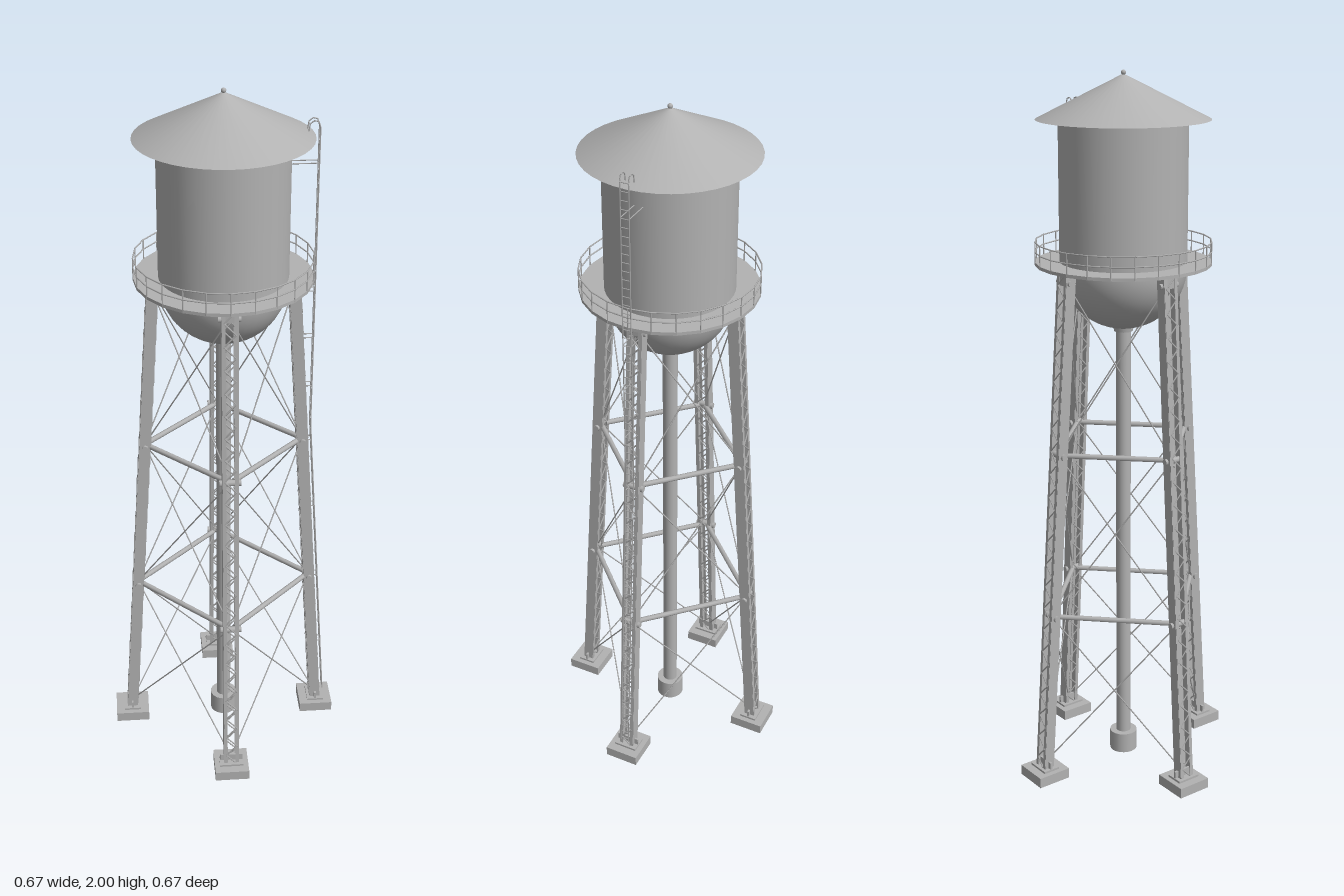
import * as THREE from 'three';
import { mergeGeometries } from 'three/addons/utils/BufferGeometryUtils.js';

const V = (x, y, z) => new THREE.Vector3(x, y, z);
const steel = new THREE.MeshStandardMaterial({ color: 0xb2b2b2, side: THREE.DoubleSide });
steel.name = 'grey steel';

// Round bar between two points
function rod(a, b, r, sides = 6) {
  const d = b.clone().sub(a);
  const g = new THREE.CylinderGeometry(r, r, d.length(), sides);
  g.applyQuaternion(new THREE.Quaternion().setFromUnitVectors(V(0, 1, 0), d.normalize()));
  return g.translate((a.x + b.x) / 2, (a.y + b.y) / 2, (a.z + b.z) / 2);
}
const box = (w, h, d, x, y, z) => new THREE.BoxGeometry(w, h, d).translate(x, y, z);

function add(parent, name, parts) {
  const mesh = new THREE.Mesh(Array.isArray(parts) ? mergeGeometries(parts) : parts, steel);
  mesh.name = name;
  parent.add(mesh);
  return mesh;
}

// Leg centre line
const FOOT = { r: 0.287, y: 0.03 }, HEAD = { r: 0.19, y: 1.48 };
const legRadius = y => FOOT.r + (HEAD.r - FOOT.r) * (y - FOOT.y) / (HEAD.y - FOOT.y);
const onLeg = (i, y) => {
  const a = i * Math.PI / 2, r = legRadius(y);
  return V(r * Math.cos(a), y, r * Math.sin(a));
};

// Two channels joined by zigzag lacing on the inner and outer faces
function legGeometry() {
  const L = Math.hypot(HEAD.r - FOOT.r, HEAD.y - FOOT.y), parts = [];
  for (const s of [-1, 1]) {
    parts.push(box(0.03, L, 0.003, 0, L / 2, s * 0.021));
    for (const f of [-1, 1]) parts.push(box(0.003, L, 0.01, f * 0.0145, L / 2, s * 0.0165));
    const n = 44, step = L / n;
    for (let k = 0; k < n; k++) {
      const z = (k % 2 ? 1 : -1) * s * 0.016;
      parts.push(rod(V(s * 0.0155, k * step, z), V(s * 0.0155, (k + 1) * step, -z), 0.0022, 4));
    }
  }
  const g = mergeGeometries(parts);
  g.rotateZ(Math.atan2(FOOT.r - HEAD.r, HEAD.y - FOOT.y));
  return g.translate(FOOT.r, FOOT.y, 0);
}

export function createModel() {
  const model = new THREE.Group();
  model.name = 'waterTower';

  // Tank wall, bowl and roof
  const tank = new THREE.Group();
  tank.name = 'tank';
  model.add(tank);
  add(tank, 'tankWall', new THREE.CylinderGeometry(0.175, 0.175, 0.39, 40, 1, true).translate(0, 1.675, 0));
  add(tank, 'tankBowl', new THREE.SphereGeometry(0.175, 40, 14, 0, Math.PI * 2, Math.PI / 2, Math.PI / 2).translate(0, 1.48, 0));
  add(tank, 'roof', new THREE.ConeGeometry(0.236, 0.118, 40, 1, true).translate(0, 1.931, 0));
  add(tank, 'eave', new THREE.RingGeometry(0.17, 0.236, 40).rotateX(Math.PI / 2).translate(0, 1.872, 0));
  add(tank, 'finial', new THREE.SphereGeometry(0.007, 10, 8).translate(0, 1.993, 0));

  // Walkway with posts and rails
  const walkway = new THREE.Group();
  walkway.name = 'walkway';
  model.add(walkway);
  const deck = [[0.173, 1.483], [0.242, 1.483], [0.242, 1.492], [0.173, 1.492]].map(p => new THREE.Vector2(...p));
  const deckGeo = new THREE.LatheGeometry(deck, 24).toNonIndexed();
  deckGeo.computeVertexNormals();
  add(walkway, 'deck', deckGeo);
  const rails = [], posts = [];
  for (let i = 0; i < 24; i++) {
    const at = (k, y) => V(0.241 * Math.sin(k * Math.PI / 12), y, 0.241 * Math.cos(k * Math.PI / 12));
    posts.push(rod(at(i, 1.485), at(i, 1.548), 0.0018, 5));
    for (const y of [1.52, 1.547]) rails.push(rod(at(i, y), at(i + 1, y), 0.002, 5));
  }
  add(walkway, 'railPosts', posts);
  add(walkway, 'handRails', rails);

  // Legs with footings, base plates and top brackets
  const leg = legGeometry();
  for (let i = 0; i < 4; i++) {
    const corner = new THREE.Group();
    corner.name = 'legAssembly';
    corner.rotation.y = i * Math.PI / 2;
    model.add(corner);
    add(corner, 'footing', box(0.1, 0.03, 0.1, 0.287, 0.015, 0));
    add(corner, 'basePlate', [
      box(0.05, 0.006, 0.07, 0.287, 0.033, 0),
      box(0.006, 0.022, 0.066, 0.287, 0.045, 0),
    ]);
    add(corner, 'leg', leg);
    add(corner, 'topBracket', [
      box(0.034, 0.035, 0.03, 0.188, 1.465, 0),
      rod(V(0.196, 1.455, -0.03), V(0.196, 1.455, 0.03), 0.008, 8),
    ]);
    const pins = [0.5, 0.975].map(y => {
      const r = legRadius(y);
      return rod(V(r, y, -0.03), V(r, y, 0.03), 0.009, 8);
    });
    add(corner, 'strutPins', pins);
  }

  // Horizontal struts and crossed tie rods between neighbouring legs
  const struts = [], ties = [], levels = [0.045, 0.5, 0.975, 1.455];
  for (let i = 0; i < 4; i++) {
    for (const y of [0.5, 0.975]) {
      const a = onLeg(i, y), b = onLeg(i + 1, y);
      struts.push(rod(a.clone().lerp(b, 0.05), b.clone().lerp(a, 0.05), 0.0075, 8));
    }
    for (let k = 0; k < 3; k++) {
      const lo = levels[k], hi = levels[k + 1];
      for (const [p, q] of [[i, i + 1], [i + 1, i]]) {
        const a = onLeg(p, lo), b = onLeg(q, hi);
        ties.push(rod(a.clone().lerp(b, 0.04), b.clone().lerp(a, 0.04), 0.002, 5));
      }
    }
  }
  add(model, 'struts', struts);
  add(model, 'tieRods', ties);

  // Central riser pipe
  const riser = new THREE.Group();
  riser.name = 'riser';
  model.add(riser);
  add(riser, 'riserPipe', new THREE.CylinderGeometry(0.021, 0.021, 1.28, 20).translate(0, 0.68, 0));
  add(riser, 'riserBase', new THREE.CylinderGeometry(0.04, 0.04, 0.06, 20).translate(0, 0.03, 0));
  add(riser, 'riserCollar', new THREE.CylinderGeometry(0.03, 0.026, 0.02, 20).translate(0, 1.305, 0));

  // Ladder: follows a leg, then rises straight past the walkway and hooks over the eave
  const ladder = new THREE.Group();
  ladder.name = 'ladder';
  model.add(ladder);
  const bend = 1.03, ladderX = y => legRadius(Math.min(y, bend)) + 0.026;
  const top = ladderX(2), stiles = [], rungs = [], stays = [];
  for (const z of [-0.012, 0.012]) {
    const path = [[ladderX(0.06), 0.06], [top, bend], [top, 1.895], [top - 0.005, 1.91],
      [top - 0.016, 1.913], [top - 0.027, 1.905], [top - 0.03, 1.885]];
    for (let k = 1; k < path.length; k++) {
      stiles.push(rod(V(path[k - 1][0], path[k - 1][1], z), V(path[k][0], path[k][1], z), 0.0018, 5));
    }
    for (const y of [0.25, 0.5, 0.75, 0.975, 1.15, 1.3, 1.44]) {
      stays.push(rod(V(legRadius(y), y, z), V(ladderX(y), y, z), 0.0016, 5));
    }
    stays.push(rod(V(0.172, 1.8, z), V(top, 1.8, z), 0.0016, 5));
  }
  for (let y = 0.07; y < 1.9; y += 0.024) {
    rungs.push(rod(V(ladderX(y), y, -0.012), V(ladderX(y), y, 0.012), 0.0014, 5));
  }
  add(ladder, 'ladderStiles', stiles);
  add(ladder, 'ladderRungs', rungs);
  add(ladder, 'ladderStays', stays);

  return model;
}
